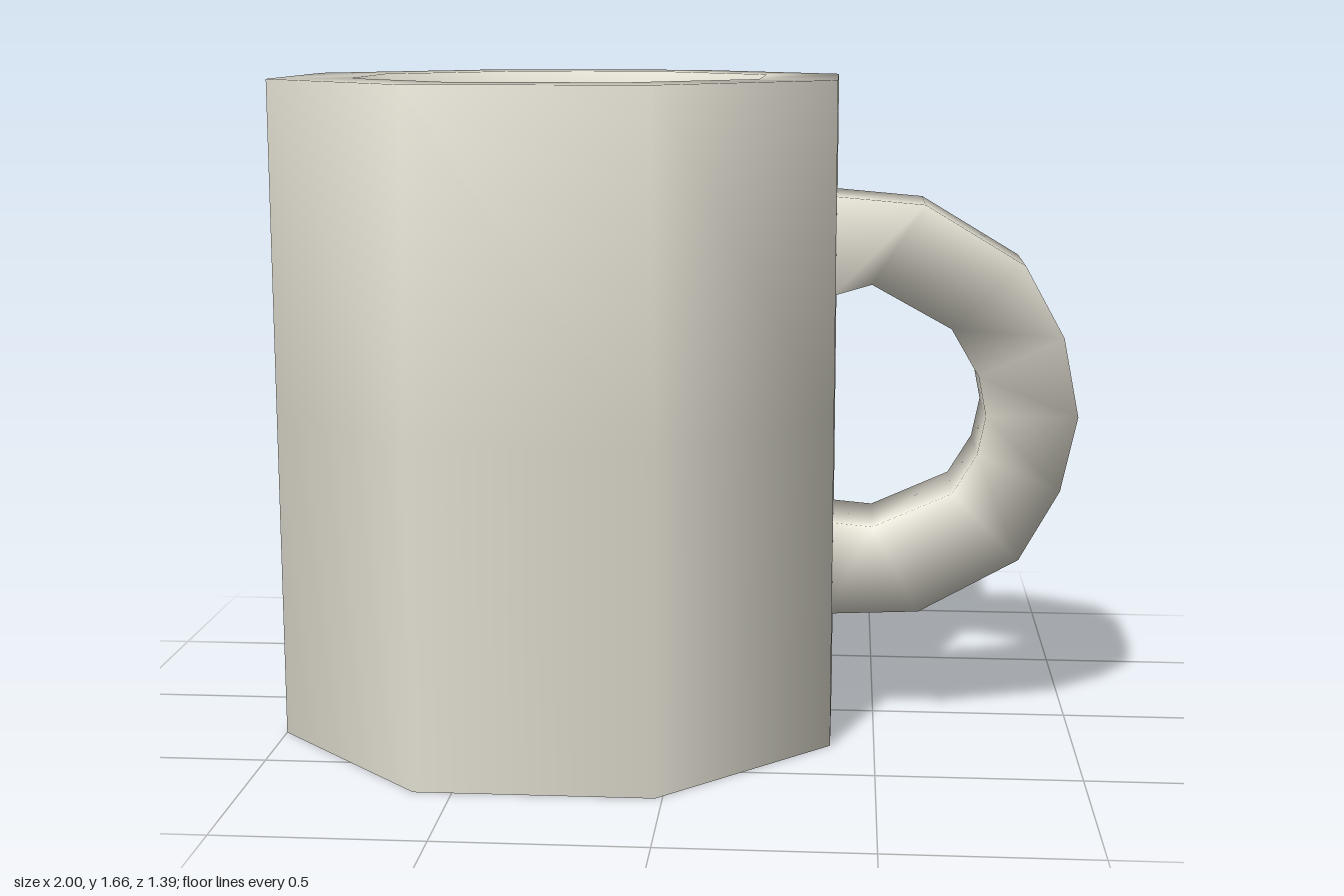
import * as THREE from 'three';

const SIDES = 8;
const CENTRE_X = -0.305;
const toCorner = (apothem) => apothem / Math.cos(Math.PI / SIDES);

// Flat octagonal disc with sides square to the axes
function octagon(apothem, y, facing, material) {
  const geo = new THREE.CircleGeometry(toCorner(apothem), SIDES, Math.PI / SIDES);
  geo.rotateX(-facing * Math.PI / 2);
  geo.translate(CENTRE_X, y, 0);
  return new THREE.Mesh(geo, material);
}

// Rectangular cross-sections swept between an outer and an inner outline
function handleGeometry(outer, inner, zFront, zBack) {
  const pos = [], index = [];
  outer.forEach(([ox, oy], i) => {
    const [ix, iy] = inner[i];
    pos.push(ox, oy, zFront, ox, oy, zBack, ix, iy, zBack, ix, iy, zFront);
    if (i === outer.length - 1) return;
    for (let j = 0; j < 4; j++) {
      const a = i * 4 + j, b = i * 4 + (j + 1) % 4;
      index.push(a, a + 4, b + 4, a, b + 4, b);
    }
  });
  const geo = new THREE.BufferGeometry();
  geo.setAttribute('position', new THREE.Float32BufferAttribute(pos, 3));
  geo.setIndex(index);
  geo.computeVertexNormals();
  return geo;
}

export function createModel() {
  const group = new THREE.Group();
  const ceramic = new THREE.MeshStandardMaterial({ color: 0xe0ddd0 });
  const drink = new THREE.MeshStandardMaterial({ color: 0x844d3e });
  const add = (mesh, name) => { mesh.name = name; group.add(mesh); };

  // Cup wall: outside, flat rim, inside and inner floor
  const R = toCorner(0.695), r = toCorner(0.505);
  const profile = [[R, 0], [R, 0.83], [R, 1.66], [r, 1.66], [r, 1.5], [r, 0.15], [0, 0.15]]
    .map(([x, y]) => new THREE.Vector2(x, y));
  const wall = new THREE.LatheGeometry(profile, SIDES, Math.PI / SIDES);
  wall.translate(CENTRE_X, 0, 0);
  add(new THREE.Mesh(wall, ceramic), 'cup');

  // Underside and drink surface
  add(octagon(0.695, 0, -1, ceramic), 'base');
  add(octagon(0.505, 1.53, 1, drink), 'drink');

  // Handle, from the upper joint round to the lower one
  const outer = [[0.38, 1.37], [0.61, 1.35], [0.86, 1.2], [0.96, 1.02], [1, 0.82],
    [0.96, 0.63], [0.86, 0.45], [0.61, 0.31], [0.38, 0.3]];
  const inner = [[0.38, 1.12], [0.48, 1.15], [0.68, 1.04], [0.75, 0.92], [0.77, 0.82],
    [0.75, 0.72], [0.69, 0.62], [0.49, 0.53], [0.38, 0.54]];
  add(new THREE.Mesh(handleGeometry(outer, inner, 0.13, -0.14), ceramic), 'handle');

  return group;
}
